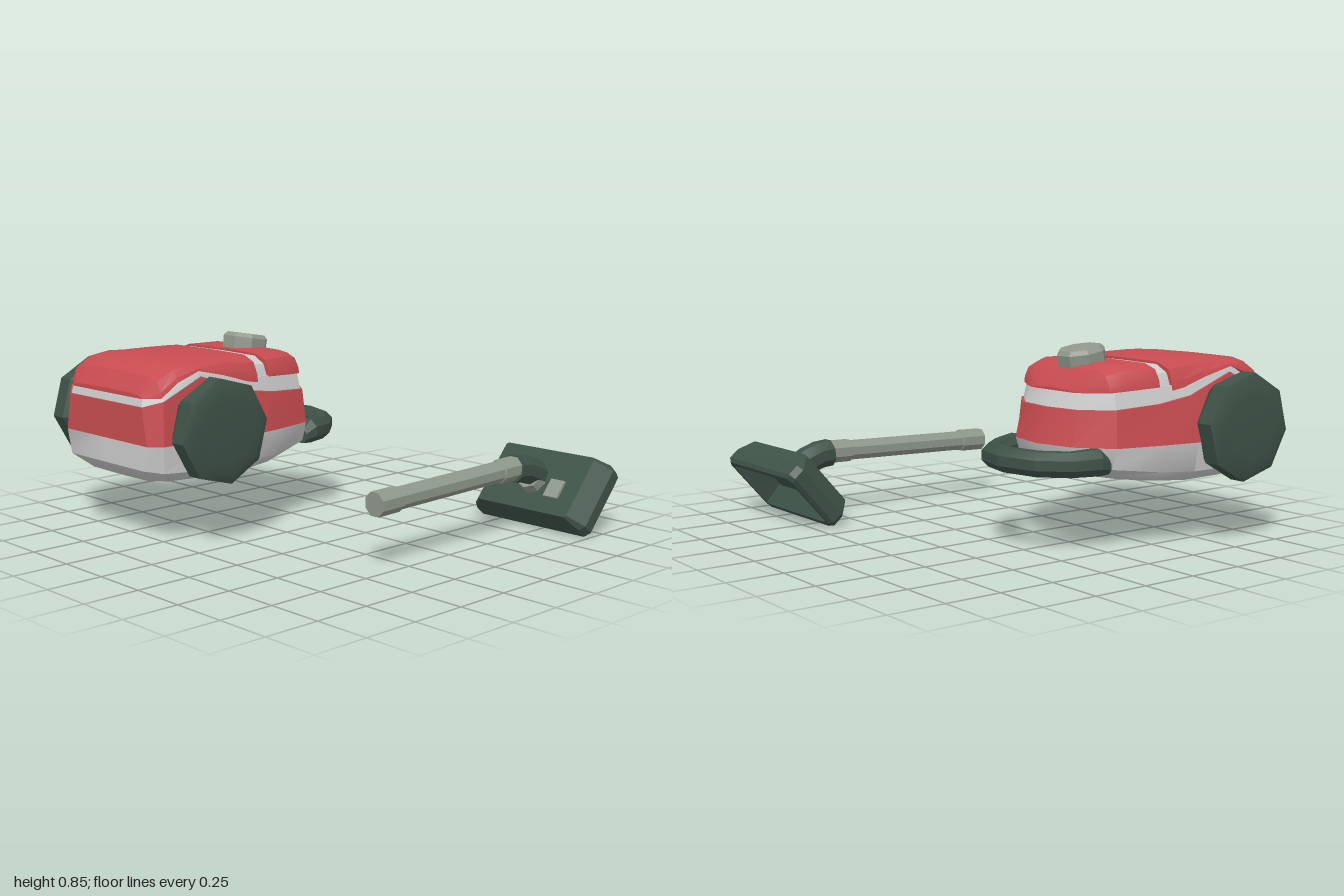
import * as THREE from 'three';
import { toCreasedNormals } from 'three/addons/utils/BufferGeometryUtils.js';

const material = (color) => new THREE.MeshStandardMaterial({ color });
const grey = material(0xcccccc);
const red = material(0xc84c50);
const dark = material(0x3e5247);
const pale = material(0x8f988c);

// Closed solid through equal-length loops of points, with fan caps at both ends.
function loft(loops, crease = 0.5) {
  const n = loops[0].length;
  const tris = [];
  for (let i = 0; i + 1 < loops.length; i++) {
    for (let j = 0; j < n; j++) {
      const k = (j + 1) % n;
      const [a, b, c, d] = [loops[i][j], loops[i][k], loops[i + 1][k], loops[i + 1][j]];
      tris.push([a, b, c], [a, c, d]);
    }
  }
  const cap = (loop, flip) => {
    const mid = loop.reduce((s, p) => s.add(p), new THREE.Vector3()).divideScalar(n);
    loop.forEach((p, j) => {
      const q = loop[(j + 1) % n];
      tris.push(flip ? [mid, q, p] : [mid, p, q]);
    });
  };
  cap(loops[0], true);
  cap(loops[loops.length - 1], false);
  // Turn every face outwards
  const volume = tris.reduce((v, [a, b, c]) => v + a.dot(b.clone().cross(c)), 0);
  if (volume < 0) tris.forEach((t) => t.reverse());
  const geometry = new THREE.BufferGeometry().setFromPoints(tris.flat());
  return toCreasedNormals(geometry, crease);
}

// Sweep of n-sided rings along [x, y, z, radius] points.
function sweep(path, up, n = 8, turn = Math.PI / 8) {
  const centres = path.map(([x, y, z]) => new THREE.Vector3(x, y, z));
  return loft(path.map(([, , , r], i) => {
    const next = centres[Math.min(i + 1, path.length - 1)];
    const along = next.clone().sub(centres[Math.max(i - 1, 0)]).normalize();
    const side = along.cross(up).normalize();
    return Array.from({ length: n }, (_, j) => {
      const a = turn + (j / n) * Math.PI * 2;
      return centres[i].clone().addScaledVector(side, r * Math.cos(a)).addScaledVector(up, r * Math.sin(a));
    });
  }));
}

// Half outline (back to front) mirrored into a full loop.
const mirrored = (half) => [
  ...half,
  ...half.slice(1, -1).reverse().map((p) => new THREE.Vector3(p.x, p.y, -p.z)),
];
const outline = (points) => mirrored(points.map(([x, y, z]) => new THREE.Vector3(x, y, z)));

// Arched cross-section at x: half width, edge height, top height.
function arch([x, w, edge, top]) {
  const half = [
    [0, edge], [w, edge], [w - 0.005, edge + (top - edge) * 0.3],
    [w - 0.03, edge + (top - edge) * 0.75], [w * 0.72, top - 0.003], [0, top],
  ];
  return mirrored(half.map(([z, y]) => new THREE.Vector3(x, y, z)));
}

export function createModel() {
  const model = new THREE.Group();
  const Y = new THREE.Vector3(0, 1, 0);
  const Z = new THREE.Vector3(0, 0, 1);
  const add = (parent, name, geometry, mat) => {
    const mesh = new THREE.Mesh(geometry, mat);
    mesh.name = name;
    parent.add(mesh);
    return mesh;
  };

  const cleaner = new THREE.Group();
  cleaner.name = 'canister';
  cleaner.position.z = -0.4925;
  model.add(cleaner);

  // Body rings from the keel up to the edge of the lids
  const keel = outline([
    [-0.7, 0.264, 0], [-0.7, 0.264, 0.1], [-0.66, 0.264, 0.16], [-0.55, 0.262, 0.2], [-0.4, 0.262, 0.2],
    [-0.28, 0.266, 0.19], [-0.15, 0.28, 0.14], [-0.08, 0.29, 0.08], [-0.06, 0.292, 0]]);
  const underside = outline([
    [-0.8, 0.275, 0], [-0.8, 0.277, 0.2], [-0.74, 0.278, 0.28], [-0.58, 0.28, 0.32], [-0.37, 0.28, 0.33],
    [-0.2, 0.292, 0.31], [0, 0.322, 0.24], [0.08, 0.34, 0.14], [0.1, 0.345, 0]]);
  const lowerEdge = outline([
    [-0.87, 0.34, 0], [-0.87, 0.34, 0.27], [-0.81, 0.33, 0.34], [-0.6, 0.32, 0.365], [-0.37, 0.325, 0.39],
    [-0.2, 0.335, 0.365], [0.02, 0.36, 0.305], [0.12, 0.37, 0.18], [0.16, 0.375, 0]]);
  const widest = outline([
    [-0.87, 0.45, 0], [-0.87, 0.45, 0.3], [-0.82, 0.45, 0.355], [-0.6, 0.45, 0.37], [-0.37, 0.45, 0.405],
    [-0.2, 0.45, 0.378], [0.02, 0.45, 0.33], [0.14, 0.45, 0.19], [0.18, 0.45, 0]]);
  const bandTop = outline([
    [-0.87, 0.615, 0], [-0.87, 0.615, 0.27], [-0.81, 0.64, 0.345], [-0.61, 0.73, 0.352], [-0.37, 0.645, 0.362],
    [-0.2, 0.62, 0.354], [0.01, 0.605, 0.315], [0.105, 0.6, 0.19], [0.135, 0.6, 0]]);
  const trimFoot = outline([
    [-0.864, 0.616, 0], [-0.864, 0.616, 0.266], [-0.806, 0.641, 0.34], [-0.61, 0.732, 0.347], [-0.37, 0.646, 0.352],
    [-0.2, 0.621, 0.345], [0.006, 0.606, 0.305], [0.095, 0.601, 0.18], [0.122, 0.601, 0]]);
  const trimTop = outline([
    [-0.853, 0.66, 0], [-0.853, 0.66, 0.255], [-0.8, 0.668, 0.326], [-0.61, 0.765, 0.338], [-0.37, 0.695, 0.338],
    [-0.2, 0.692, 0.328], [0, 0.682, 0.288], [0.066, 0.676, 0.178], [0.084, 0.673, 0]]);
  add(cleaner, 'lowerShell', loft([keel, underside, lowerEdge, widest], 0.8), grey);
  add(cleaner, 'colouredBand', loft([widest, bandTop]), red);
  add(cleaner, 'trimBand', loft([trimFoot, trimTop]), grey);

  // Lids and the strip between them
  const rear = [
    [-0.86, 0.26, 0.65, 0.67], [-0.81, 0.332, 0.655, 0.745], [-0.73, 0.342, 0.715, 0.785],
    [-0.62, 0.346, 0.755, 0.792], [-0.47, 0.346, 0.72, 0.792], [-0.34, 0.344, 0.68, 0.79], [-0.28, 0.34, 0.67, 0.788]];
  const front = [
    [-0.21, 0.336, 0.688, 0.786], [-0.05, 0.312, 0.68, 0.787], [0.02, 0.284, 0.674, 0.765],
    [0.07, 0.195, 0.67, 0.71], [0.09, 0.14, 0.668, 0.68]];
  add(cleaner, 'rearLid', loft(rear.map(arch)), red);
  add(cleaner, 'frontLid', loft(front.map(arch)), red);
  add(cleaner, 'crossStrip', loft([[-0.3, 0.332, 0.64, 0.778], [-0.19, 0.326, 0.64, 0.776]].map(arch)), grey);

  // Dial on the front lid
  const dial = add(cleaner, 'dial', sweep(
    [[0, -0.06, 0, 0.105], [0, 0.012, 0, 0.108], [0, 0.03, 0, 0.092]], Z), pale);
  dial.position.set(-0.065, 0.812, 0);
  dial.rotation.z = -0.17;

  // Wheels
  for (const s of [1, -1]) {
    add(cleaner, s > 0 ? 'rightWheel' : 'leftWheel', sweep([
      [-0.59, 0.506, 0.33 * s, 0.18], [-0.59, 0.506, 0.36 * s, 0.19], [-0.59, 0.506, 0.415 * s, 0.234],
      [-0.59, 0.506, 0.488 * s, 0.234], [-0.59, 0.506, 0.503 * s, 0.2], [-0.59, 0.506, 0.5075 * s, 0.14],
    ], Y, 8, -s * 0.12), dark);
  }

  // Carrying handle around the nose
  const arm = [[0.03, 0.375, 0.285, 0.035], [0.075, 0.395, 0.275, 0.06], [0.19, 0.39, 0.238, 0.056], [0.29, 0.392, 0.15, 0.056]];
  add(cleaner, 'carryHandle', sweep([
    ...arm, [0.332, 0.395, 0, 0.056], ...arm.map(([x, y, z, r]) => [x, y, -z, r]).reverse()], Y), dark);

  // Suction tube and elbow
  const wand = new THREE.Group();
  wand.name = 'wand';
  wand.position.z = 0.685;
  model.add(wand);
  add(wand, 'tube', sweep([
    [-0.388, 0.275, 0, 0.055], [-0.262, 0.278, 0, 0.055], [-0.258, 0.278, 0, 0.048],
    [0.388, 0.291, 0, 0.048], [0.392, 0.291, 0, 0.055], [0.51, 0.293, 0, 0.055]], Z), pale);
  add(wand, 'elbow', sweep([
    [0.495, 0.29, 0, 0.066], [0.555, 0.284, 0, 0.066], [0.615, 0.262, 0, 0.066], [0.66, 0.235, 0, 0.066]], Z), dark);

  // Floor head: tilted hollow box with chamfered corners, open towards local +x
  const head = new THREE.Group();
  head.name = 'floorHead';
  head.position.set(0.715, 0.17, 0.685);
  head.rotation.z = -0.72;
  model.add(head);
  const frame = ([x, h, w, c]) => [
    [h, w - c], [h - c, w], [c - h, w], [-h, w - c], [-h, c - w], [c - h, -w], [h - c, -w], [h, c - w],
  ].map(([y, z]) => new THREE.Vector3(x, y, z));
  add(head, 'headShell', loft([
    [-0.075, 0.158, 0.25, 0.01], [0, 0.172, 0.315, 0.025], [0.055, 0.172, 0.315, 0.025],
    [0.072, 0.16, 0.3, 0.025], [0.072, 0.138, 0.28, 0.012], [-0.025, 0.1, 0.235, 0.01]].map(frame)), dark);
  const collar = add(head, 'collar', toCreasedNormals(new THREE.CylinderGeometry(0.06, 0.064, 0.06, 8), 0.5), pale);
  collar.rotation.z = Math.PI / 2;
  collar.position.set(-0.09, -0.015, 0);
  add(head, 'pedal', new THREE.BoxGeometry(0.03, 0.09, 0.075), pale).position.set(-0.073, -0.035, 0.13);

  return model;
}
